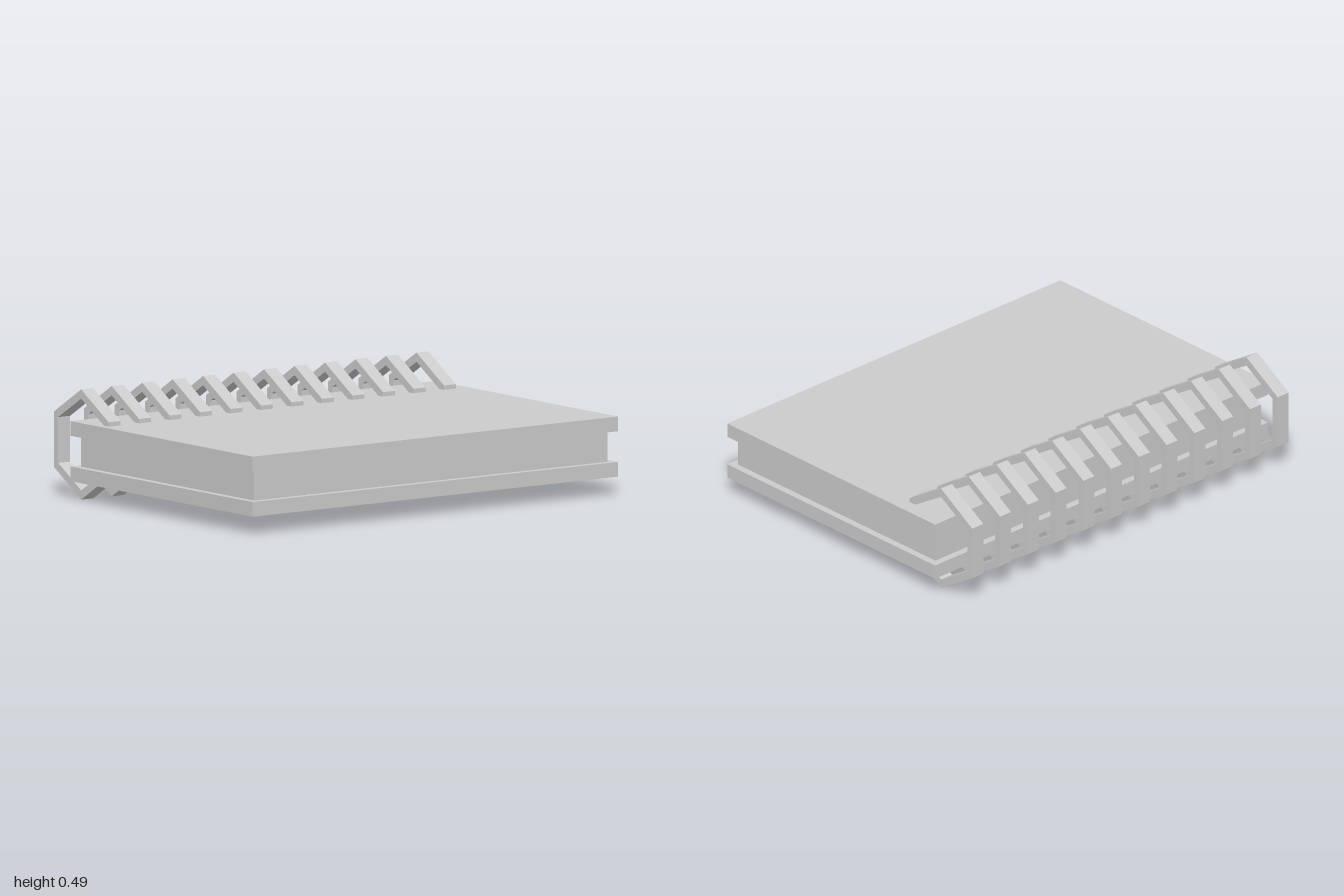
import * as THREE from 'three';

// Upright six-sided outline, slightly taller than a regular hexagon
function hexagon(PathType, halfWidth, halfHeight) {
  const points = [];
  for (let i = 0; i < 6; i++) {
    const a = Math.PI / 2 + (i * Math.PI) / 3;
    points.push(new THREE.Vector2(
      (Math.cos(a) / Math.cos(Math.PI / 6)) * halfWidth,
      Math.sin(a) * halfHeight
    ));
  }
  return new PathType(points);
}

export function createModel() {
  const group = new THREE.Group();
  const material = new THREE.MeshStandardMaterial({ color: 0xcccccc, flatShading: true });

  function slab(name, width, height, depth, x, y) {
    const mesh = new THREE.Mesh(new THREE.BoxGeometry(width, height, depth), material);
    mesh.name = name;
    mesh.position.set(x, y, 0);
    group.add(mesh);
  }

  // Covers and the slightly smaller block of pages between them
  slab('backCover', 1.328, 0.065, 2, 0.081, 0.114);
  slab('pages', 1.262, 0.136, 1.934, 0.081, 0.214);
  slab('frontCover', 1.328, 0.065, 2, 0.081, 0.315);

  // Row of binding rings through the spine edge
  const ringWidth = 0.066;
  const ringShape = hexagon(THREE.Shape, 0.2, 0.244);
  ringShape.holes.push(hexagon(THREE.Path, 0.168, 0.203));
  const ringGeometry = new THREE.ExtrudeGeometry(ringShape, { depth: ringWidth, bevelEnabled: false });
  ringGeometry.translate(0, 0, -ringWidth / 2);

  const rings = new THREE.Group();
  rings.name = 'bindingRings';
  for (let i = 0; i < 12; i++) {
    const ring = new THREE.Mesh(ringGeometry, material);
    ring.name = `bindingRing${i + 1}`;
    ring.position.set(-0.55, 0.245, 0.934 - (i * 1.834) / 11);
    rings.add(ring);
  }
  group.add(rings);

  return group;
}
